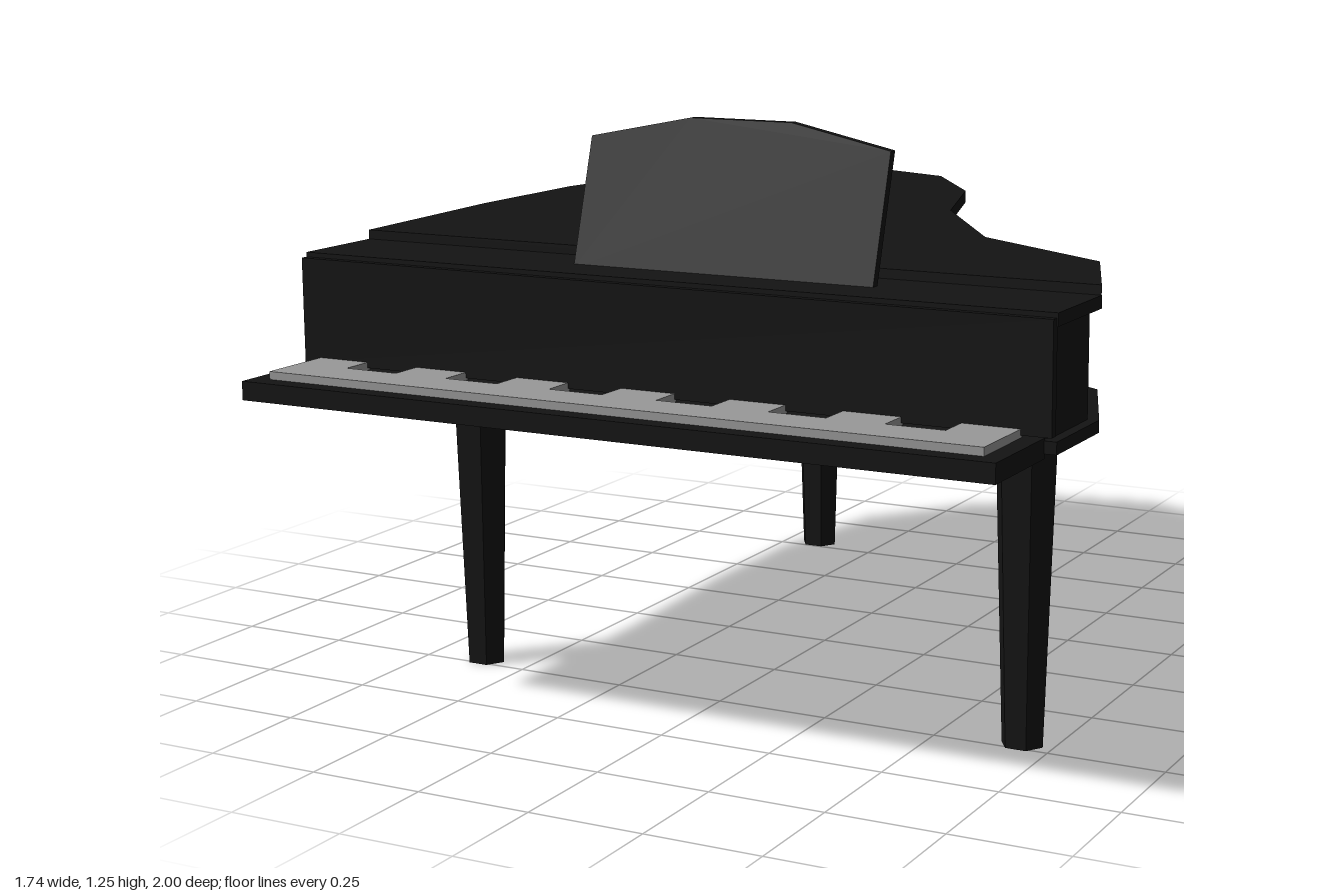
import * as THREE from 'three';

const black = new THREE.MeshStandardMaterial({ color: 0x141414, flatShading: true });
const ivory = new THREE.MeshStandardMaterial({ color: 0x999999, flatShading: true });

// Curved rim as [x, z], from the left cheek around the tail to the right cheek
const rim = [
  [-0.84, 0.55], [-0.87, 0.05], [-0.865, -0.32], [-0.8, -0.67], [-0.6, -0.94],
  [-0.33, -1], [-0.13, -0.925], [0.05, -0.67], [0.165, -0.32], [0.41, 0.05],
  [0.755, 0.27], [0.865, 0.55],
];
const fullOutline = [[-0.84, 0.77], ...rim, [0.865, 0.77]];

// Moves every edge of a closed outline inwards by d
function inset(points, d) {
  const n = points.length;
  const normal = (a, b) => {
    const dx = b[0] - a[0], dz = b[1] - a[1], l = Math.hypot(dx, dz);
    return [-dz / l, dx / l];
  };
  return points.map((p, i) => {
    const n1 = normal(points[(i + n - 1) % n], p);
    const n2 = normal(p, points[(i + 1) % n]);
    const k = d / (1 + n1[0] * n2[0] + n1[1] * n2[1]);
    return [p[0] + (n1[0] + n2[0]) * k, p[1] + (n1[1] + n2[1]) * k];
  });
}

export function createModel() {
  const piano = new THREE.Group();
  piano.name = 'grandPiano';

  const add = (name, geometry, material = black) => {
    const mesh = new THREE.Mesh(geometry, material);
    mesh.name = name;
    piano.add(mesh);
    return mesh;
  };

  // Flat slab with the given [x, z] outline between two heights
  const slab = (name, points, y0, y1, material) => {
    const shape = new THREE.Shape(points.map(([x, z]) => new THREE.Vector2(x, -z)));
    const geometry = new THREE.ExtrudeGeometry(shape, { depth: y1 - y0, bevelEnabled: false });
    geometry.rotateX(-Math.PI / 2).translate(0, y0, 0);
    return add(name, geometry, material);
  };

  const box = (name, x0, x1, y0, y1, z0, z1) => add(name,
    new THREE.BoxGeometry(x1 - x0, y1 - y0, z1 - z0)
      .translate((x0 + x1) / 2, (y0 + y1) / 2, (z0 + z1) / 2));

  // Body
  slab('bottomBoard', fullOutline, 0.68, 0.705);
  slab('case', inset(fullOutline, 0.022), 0.705, 0.94);
  slab('lid', rim, 0.94, 0.968);
  box('frontLid', -0.84, 0.865, 0.922, 0.948, 0.548, 0.772);
  box('fallboard', -0.84, 0.862, 0.715, 0.938, 0.768, 0.788);
  box('keyBed', -0.84, 0.84, 0.67, 0.71, 0.766, 1);

  // Keyboard with notches along its back edge
  const keys = [[-0.8, 0.96], [-0.8, 0.78]];
  for (let i = 0; i < 6; i++) {
    const x = -0.617 + i * 0.247;
    keys.push([x - 0.062, 0.78], [x - 0.062, 0.86], [x + 0.062, 0.86], [x + 0.062, 0.78]);
  }
  keys.push([0.8, 0.78], [0.8, 0.96]);
  slab('keys', keys, 0.708, 0.727, ivory);

  // Music stand, leaning back
  const stand = new THREE.Shape([
    [-0.245, 0], [0.435, 0], [0.435, 0.265], [0.21, 0.31], [-0.02, 0.31], [-0.245, 0.265],
  ].map(([x, y]) => new THREE.Vector2(x, y)));
  const standGeometry = new THREE.ExtrudeGeometry(stand, { depth: 0.02, bevelEnabled: false });
  standGeometry.applyMatrix4(new THREE.Matrix4().set(
    1, 0, 0, 0,
    0, 1, 0, 0.94,
    0, -0.305, 1, 0.643,
    0, 0, 0, 1));
  add('musicStand', standGeometry);

  // Tapered six-sided legs
  for (const [name, x, z] of [
    ['frontRightLeg', -0.612, 0.472], ['frontLeftLeg', 0.684, 0.472], ['backLeg', -0.41, -0.788],
  ]) {
    const leg = add(name, new THREE.CylinderGeometry(0.068, 0.045, 0.685, 6, 1, false, Math.PI / 2));
    leg.scale.z = 0.91;
    leg.position.set(x, 0.3425, z);
  }

  return piano;
}
